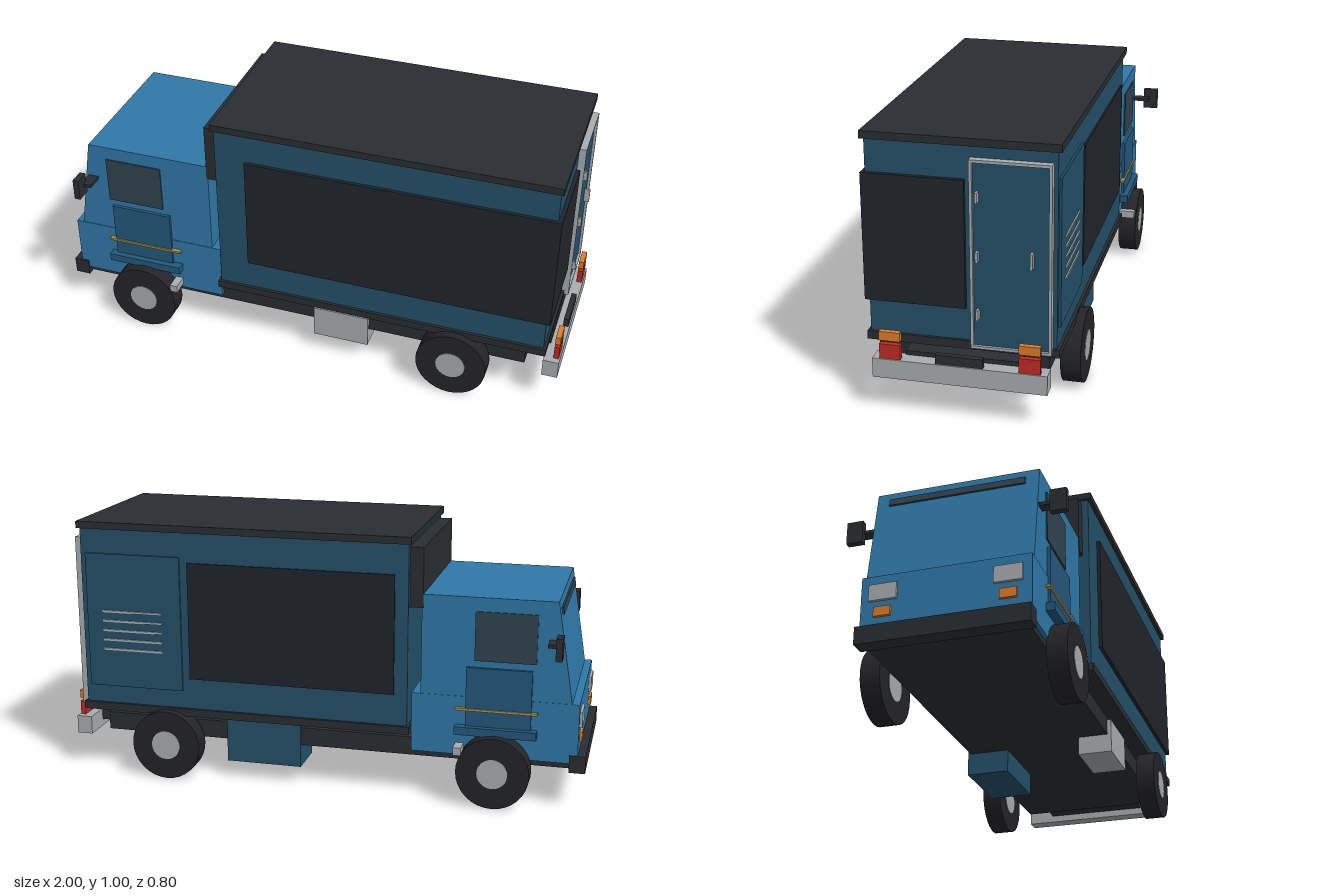
import * as THREE from 'three';

const mat = (color) => new THREE.MeshStandardMaterial({ color });
const M = {
  cab: mat(0x2f78a8), trim: mat(0x24587c), body: mat(0x245068), panel: mat(0x20242b),
  dark: mat(0x2a2d31), tyre: mat(0x242428), grey: mat(0xa8adb1), glass: mat(0x30434f),
  red: mat(0xc02a26), orange: mat(0xdc7c28), gold: mat(0xa8924a),
};

export function createModel() {
  const truck = new THREE.Group();
  truck.name = 'boxTruck';

  // Box given by its extents along each axis
  const box = (name, m, [x0, x1], [y0, y1], [z0, z1]) => {
    const mesh = new THREE.Mesh(new THREE.BoxGeometry(x1 - x0, y1 - y0, z1 - z0), m);
    mesh.position.set((x0 + x1) / 2, (y0 + y1) / 2, (z0 + z1) / 2);
    mesh.name = name;
    truck.add(mesh);
    return mesh;
  };
  // The same box on both sides of the truck
  const pair = (name, m, x, y, [z0, z1]) => {
    box(name + 'Left', m, x, y, [z0, z1]);
    box(name + 'Right', m, x, y, [-z1, -z0]);
  };

  // Chassis and bumpers
  box('chassis', M.dark, [-0.96, 0.87], [0.155, 0.225], [-0.285, 0.285]);
  box('frontBumper', M.dark, [-1, -0.94], [0.145, 0.21], [-0.305, 0.305]);
  box('rearBumper', M.grey, [0.94, 1], [0.133, 0.204], [-0.305, 0.305]);
  box('rearPlate', M.dark, [0.975, 0.995], [0.2, 0.238], [-0.083, 0.083]);
  box('bumperMount', M.dark, [0.86, 0.95], [0.16, 0.22], [-0.2, 0.2]);
  box('batteryBox', M.grey, [0.035, 0.255], [0.085, 0.215], [0.17, 0.3]);
  box('fuelTank', M.body, [0.08, 0.375], [0.068, 0.245], [-0.295, -0.13]);

  // Cargo body
  box('cargoBody', M.body, [-0.34, 0.94], [0.265, 0.975], [-0.325, 0.325]);
  box('roof', M.dark, [-0.35, 0.95], [0.97, 0.997], [-0.338, 0.338]);
  box('skirt', M.dark, [-0.35, 0.95], [0.25, 0.28], [-0.336, 0.336]);
  box('frontHousing', M.dark, [-0.39, -0.34], [0.73, 0.955], [-0.3, 0.3]);

  // Dark display panels; one wraps round the rear corner
  const panelY = [0.4, 0.855];
  box('sidePanelLeft', M.panel, [-0.22, 0.955], panelY, [0.31, 0.338]);
  box('rearPanel', M.panel, [0.93, 0.955], panelY, [-0.015, 0.338]);
  box('sidePanelRight', M.panel, [-0.29, 0.51], panelY, [-0.331, -0.31]);

  // Service hatch with louvres
  box('serviceHatch', M.body, [0.54, 0.92], [0.35, 0.875], [-0.333, -0.31]);
  for (let i = 0; i < 5; i++) {
    const y = 0.5 + i * 0.0375;
    box('louvre', M.grey, [0.615, 0.855], [y - 0.004, y + 0.004], [-0.338, -0.33]);
  }

  // Rear door: frame with opening, leaf, hinges and handle
  const frame = new THREE.Shape();
  const rect = (p, a, b, c, d) => p.moveTo(a, b).lineTo(c, b).lineTo(c, d).lineTo(a, d).closePath();
  rect(frame, 0.035, 0.263, 0.311, 0.931);
  const opening = new THREE.Path();
  rect(opening, 0.045, 0.273, 0.301, 0.921);
  frame.holes.push(opening);
  const frameMesh = new THREE.Mesh(
    new THREE.ExtrudeGeometry(frame, { depth: 0.03, bevelEnabled: false }), M.grey);
  frameMesh.rotation.y = Math.PI / 2;
  frameMesh.position.x = 0.937;
  frameMesh.name = 'rearDoorFrame';
  truck.add(frameMesh);
  box('rearDoor', M.body, [0.93, 0.957], [0.27, 0.925], [-0.305, -0.04]);
  for (const y of [0.39, 0.597, 0.805]) {
    box('hinge', M.grey, [0.95, 0.978], [y - 0.018, y + 0.018], [-0.065, -0.056]);
  }
  box('doorHandle', M.grey, [0.95, 0.978], [0.57, 0.626], [-0.249, -0.24]);

  // Rear lights
  pair('tailLight', M.red, [0.975, 0.995], [0.2, 0.258], [0.206, 0.28]);
  pair('rearIndicator', M.orange, [0.975, 0.995], [0.271, 0.304], [0.206, 0.28]);

  // Cab: lower block and raked upper part
  box('cabLower', M.cab, [-0.97, -0.352], [0.178, 0.405], [-0.3, 0.3]);
  const profile = new THREE.Shape([[-0.943, 0.4], [-0.385, 0.4], [-0.385, 0.782], [-0.88, 0.782]]
    .map(([x, y]) => new THREE.Vector2(x, y)));
  const cabGeo = new THREE.ExtrudeGeometry(profile, { depth: 0.596, bevelEnabled: false });
  cabGeo.translate(0, 0, -0.298);
  const cabUpper = new THREE.Mesh(cabGeo, M.cab);
  cabUpper.name = 'cabUpper';
  truck.add(cabUpper);
  const visor = box('windscreenStrip', M.glass, [-0.894, -0.882], [0.725, 0.752], [-0.25, 0.25]);
  visor.rotation.z = -0.16;

  // Cab sides: windows, door panels, trim and steps
  pair('sideWindow', M.glass, [-0.81, -0.583], [0.545, 0.73], [0.29, 0.303]);
  pair('cabDoorPanel', M.trim, [-0.797, -0.555], [0.28, 0.52], [0.29, 0.31]);
  pair('trimStripe', M.gold, [-0.82, -0.517], [0.355, 0.364], [0.295, 0.316]);
  pair('step', M.trim, [-0.82, -0.517], [0.265, 0.296], [0.29, 0.332]);
  pair('fenderBracket', M.grey, [-0.55, -0.52], [0.195, 0.225], [0.28, 0.362]);

  // Front lights
  pair('headlight', M.grey, [-0.98, -0.96], [0.31, 0.37], [0.17, 0.27]);
  pair('frontIndicator', M.orange, [-0.98, -0.96], [0.25, 0.285], [0.19, 0.25]);

  // Mirrors
  pair('mirror', M.dark, [-0.907, -0.883], [0.59, 0.674], [0.34, 0.4]);
  pair('mirrorArm', M.dark, [-0.892, -0.852], [0.628, 0.641], [0.29, 0.365]);

  // Wheels
  const tyreGeo = new THREE.CylinderGeometry(0.136, 0.136, 0.073, 32).rotateX(Math.PI / 2);
  const hubGeo = new THREE.CylinderGeometry(0.057, 0.057, 0.077, 24).rotateX(Math.PI / 2);
  for (const x of [-0.668, 0.603]) {
    for (const side of [1, -1]) {
      const wheel = new THREE.Group();
      wheel.name = (x < 0 ? 'front' : 'rear') + 'Wheel';
      const tyre = new THREE.Mesh(tyreGeo, M.tyre);
      tyre.name = 'tyre';
      const hub = new THREE.Mesh(hubGeo, M.grey);
      hub.name = 'hub';
      wheel.add(tyre, hub);
      wheel.position.set(x, 0.136, side * 0.331);
      truck.add(wheel);
    }
  }
  return truck;
}
